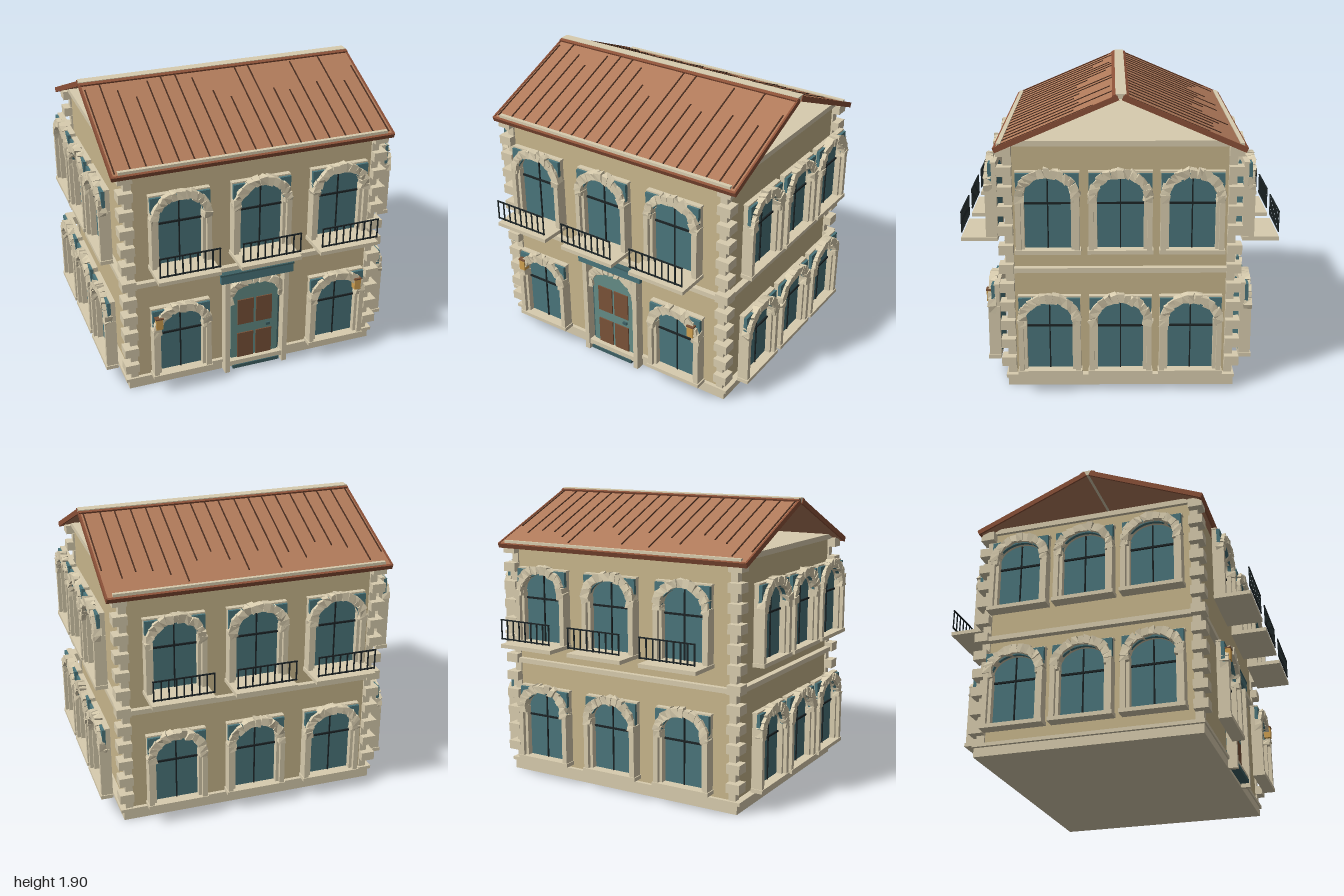
import * as THREE from 'three';

const mat = (color, double) => new THREE.MeshStandardMaterial({
  color, flatShading: true, side: double ? THREE.DoubleSide : THREE.FrontSide });
const M = {
  wall: mat(0xc8b68c), stone: mat(0xd8ccae), teal: mat(0x4a757b), leaf: mat(0x648c86),
  darkTeal: mat(0x3d6064), roof: mat(0xb07a5a, true), trim: mat(0x8c5138), iron: mat(0x1c2426),
  seam: mat(0x4a2e20), wood: mat(0x7a5238), gold: mat(0xd0a050),
};

let seed = 7;
const rnd = () => { seed = (seed * 16807) % 2147483647; return seed / 2147483647 - 0.5; };

function add(parent, name, geo, material) {
  const m = new THREE.Mesh(geo, material);
  m.name = name;
  parent.add(m);
  return m;
}

// Box given by its min and max on each axis
function box(parent, name, material, x0, x1, y0, y1, z0, z1) {
  const m = add(parent, name, new THREE.BoxGeometry(x1 - x0, y1 - y0, z1 - z0), material);
  m.position.set((x0 + x1) / 2, (y0 + y1) / 2, (z0 + z1) / 2);
  return m;
}

// Rectangle topped by a half ellipse
function archPath(path, hw, y0, spring, ry) {
  path.moveTo(-hw, y0);
  path.lineTo(hw, y0);
  path.lineTo(hw, spring);
  path.absellipse(0, spring, hw, ry, 0, Math.PI, false, 0);
  path.lineTo(-hw, y0);
  return path;
}

function extrude(parent, name, shape, material, z0, depth) {
  const geo = new THREE.ExtrudeGeometry(shape, { depth, bevelEnabled: false, curveSegments: 20 });
  const m = add(parent, name, geo, material);
  m.position.z = z0;
  return m;
}

// Rough stones set along a half ellipse
function stoneArch(parent, rx, ry, spring, z, depth, count) {
  const g = new THREE.Group();
  g.name = 'stoneArch';
  for (let i = 0; i < count; i++) {
    const a = Math.PI * (-0.03 + 1.06 * i / (count - 1));
    const geo = new THREE.BoxGeometry(0.052, 0.042, depth);
    const p = geo.attributes.position;
    const jitter = Array.from({ length: 24 }, () => rnd() * 0.016);
    // each corner moves as one
    for (let k = 0; k < p.count; k++) {
      const c = (p.getX(k) > 0 ? 1 : 0) + (p.getY(k) > 0 ? 2 : 0) + (p.getZ(k) > 0 ? 4 : 0);
      p.setXYZ(k, p.getX(k) + jitter[c * 3], p.getY(k) + jitter[c * 3 + 1], p.getZ(k) + jitter[c * 3 + 2] * 0.7);
    }
    const s = add(g, 'archStone', geo, M.stone);
    s.position.set(rx * Math.cos(a), spring + ry * Math.sin(a), z + rnd() * 0.006);
    s.rotation.z = Math.atan2(Math.sin(a) / ry, Math.cos(a) / rx) + rnd() * 0.25;
  }
  parent.add(g);
}

// Arched window, standing on y = 0 with its back at z = 0
function makeWindow(balcony) {
  const g = new THREE.Group();
  g.name = balcony ? 'balconyWindow' : 'window';
  extrude(g, 'glass', archPath(new THREE.Shape(), 0.15, 0.02, 0.36, 0.11), M.teal, 0, 0.012);
  box(g, 'verticalBar', M.iron, -0.004, 0.004, 0.025, 0.465, 0.01, 0.02);
  box(g, 'crossBar', M.iron, -0.145, 0.145, 0.302, 0.314, 0.01, 0.022);
  box(g, 'sill', M.stone, -0.2, 0.2, 0, 0.025, 0, balcony ? 0.23 : 0.08);
  for (const s of [-1, 1]) {
    const outer = box(g, 'outerPost', M.stone, -0.016, 0.016, 0.025, 0.36, 0, 0.074);
    outer.position.x = s * 0.177;
    const inner = box(g, 'innerPost', M.stone, -0.011, 0.011, 0.025, 0.36, 0, 0.05);
    inner.position.x = s * 0.152;
  }
  // spandrel panels around the arch
  const panel = new THREE.Shape();
  panel.moveTo(-0.19, 0.36);
  panel.lineTo(-0.145, 0.36);
  panel.absellipse(0, 0.36, 0.145, 0.11, Math.PI, 0, true, 0);
  panel.lineTo(0.19, 0.36);
  panel.lineTo(0.19, 0.5);
  panel.lineTo(-0.19, 0.5);
  panel.closePath();
  extrude(g, 'backPanel', panel, M.stone, 0, 0.03);
  extrude(g, 'spandrel', panel, M.teal, 0.03, 0.022);
  box(g, 'cap', M.stone, -0.195, 0.195, 0.5, 0.51, 0, 0.035);
  stoneArch(g, 0.169, 0.143, 0.36, 0.05, 0.05, 15);
  if (balcony) {
    for (const y of [0.062, 0.187]) box(g, 'rail', M.iron, -0.195, 0.195, y - 0.004, y + 0.004, 0.222, 0.23);
    for (let i = 0; i < 9; i++) {
      const x = -0.19 + i * 0.0475;
      box(g, 'baluster', M.iron, x - 0.004, x + 0.004, 0.055, 0.19, 0.223, 0.229);
    }
  }
  return g;
}

function placeWindow(parent, x, y, z, turn, balcony) {
  const w = makeWindow(balcony);
  w.position.set(x, y, z);
  w.rotation.y = turn;
  parent.add(w);
}

function makeDoor() {
  const g = new THREE.Group();
  g.name = 'door';
  extrude(g, 'doorFrame', archPath(new THREE.Shape(), 0.18, 0.02, 0.57, 0.12), M.darkTeal, 0.69, 0.03);
  extrude(g, 'doorLeaf', archPath(new THREE.Shape(), 0.165, 0.08, 0.57, 0.1), M.leaf, 0.7, 0.03);
  for (const s of [-1, 1]) {
    for (const [y0, y1] of [[0.08, 0.27], [0.34, 0.53]])
      box(g, 'doorPanel', M.wood, s * 0.065 - 0.056, s * 0.065 + 0.056, y0, y1, 0.725, 0.738);
    box(g, 'doorPost', M.stone, s * 0.204 - 0.017, s * 0.204 + 0.017, 0, 0.7, 0.71, 0.775);
  }
  box(g, 'lockPlate', M.darkTeal, 0.08, 0.11, 0.295, 0.315, 0.728, 0.742);
  box(g, 'step', M.stone, -0.187, 0.187, 0.04, 0.078, 0.7, 0.765);
  box(g, 'threshold', M.darkTeal, -0.165, 0.165, 0.02, 0.045, 0.7, 0.772);
  box(g, 'lintel', M.teal, -0.25, 0.25, 0.7, 0.765, 0.745, 0.775);
  box(g, 'lintelCap', M.darkTeal, -0.255, 0.255, 0.758, 0.77, 0.74, 0.778);
  stoneArch(g, 0.19, 0.13, 0.55, 0.73, 0.045, 15);
  return g;
}

function makeRoof() {
  const g = new THREE.Group();
  g.name = 'roof';
  const slope = Math.atan2(0.325, 0.76), len = Math.hypot(0.325, 0.76);
  for (const s of [1, -1]) {
    const side = new THREE.Group();
    side.name = s > 0 ? 'frontRoofSlope' : 'backRoofSlope';
    // local +z runs down the slope from the ridge
    box(side, 'roofSheet', M.roof, -0.925, 0.925, -0.024, 0, 0.02, len);
    box(side, 'eaveTrim', M.trim, -0.928, 0.928, -0.028, 0.003, len - 0.012, len + 0.004);
    for (const e of [-1, 1])
      box(side, 'vergeTrim', M.trim, e * 0.924 - 0.006, e * 0.924 + 0.006, -0.028, 0.005, 0.02, len);
    for (let i = 0; i < 19; i++) {
      const x = -0.9 + i * 0.1 + rnd() * 0.012;
      const start = 0.03 + (rnd() + 0.5) * 0.3;
      const end = len - 0.03 - (s > 0 ? 0 : (rnd() + 0.5) * 0.35);
      box(side, 'roofSeam', M.seam, x - 0.004, x + 0.004, -0.002, 0.005, s > 0 ? start : 0.03, end);
    }
    box(side, 'ridgeTrim', M.trim, -0.928, 0.928, -0.01, 0.012, 0.025, 0.05);
    const pivot = new THREE.Group();
    pivot.name = 'roofSide';
    side.rotation.x = slope;
    side.position.y = 1.893;
    pivot.rotation.y = s > 0 ? 0 : Math.PI;
    pivot.add(side);
    g.add(pivot);
    box(g, 'eaveStrip', M.stone, -0.885, 0.885, 1.565, 1.592, s * 0.733 - 0.013, s * 0.733 + 0.013);
  }
  box(g, 'ridgeStrip', M.stone, -0.925, 0.925, 1.865, 1.897, -0.035, 0.03);
  return g;
}

export function createModel() {
  const house = new THREE.Group();
  house.name = 'house';

  // walls and horizontal bands
  box(house, 'walls', M.wall, -0.838, 0.838, 0.05, 1.58, -0.7, 0.7);
  box(house, 'plinth', M.stone, -0.865, 0.865, 0, 0.06, -0.72, 0.715);
  box(house, 'plinthBand', M.stone, -0.885, 0.885, 0.058, 0.08, -0.725, 0.725);
  box(house, 'floorBand', M.stone, -0.88, 0.88, 0.765, 0.797, -0.735, 0.735);
  box(house, 'wallTop', M.stone, -0.86, 0.86, 1.565, 1.6, -0.68, 0.68);

  // corner stones, alternately wide and narrow
  const rows = 24, h = 1.49 / rows;
  for (const sx of [-1, 1]) for (const sz of [-1, 1]) for (let i = 0; i < rows; i++) {
    const wide = i % 2 === 1;
    const w = wide ? 0.092 : 0.048, d = wide ? 0.09 : 0.052;
    const q = add(house, 'cornerStone', new THREE.BoxGeometry(w, h - 0.002, d), M.stone);
    q.position.set(sx * (0.802 + w / 2), 0.08 + h * (i + 0.5), sz * (0.66 + d / 2));
  }

  // windows on all four walls
  for (const x of [-0.53, 0, 0.53]) {
    placeWindow(house, x, 0.925, 0.77, 0, true);
    placeWindow(house, x, 0.925, -0.77, Math.PI, true);
    placeWindow(house, x, 0.13, -0.77, Math.PI, false);
  }
  for (const x of [-0.535, 0.55]) placeWindow(house, x, 0.13, 0.77, 0, false);
  for (const s of [-1, 1]) for (const z of [-0.435, 0, 0.44]) for (const y of [0.13, 0.925])
    placeWindow(house, s * 0.915, y, z, s * Math.PI / 2, false);

  house.add(makeDoor(), makeRoof());

  // wall lamps
  for (const x of [-0.69, 0.688]) {
    box(house, 'lamp', M.gold, x - 0.022, x + 0.022, 0.512, 0.585, 0.81, 0.855);
    box(house, 'lampCap', M.wood, x - 0.026, x + 0.026, 0.585, 0.594, 0.805, 0.858);
  }
  return house;
}
